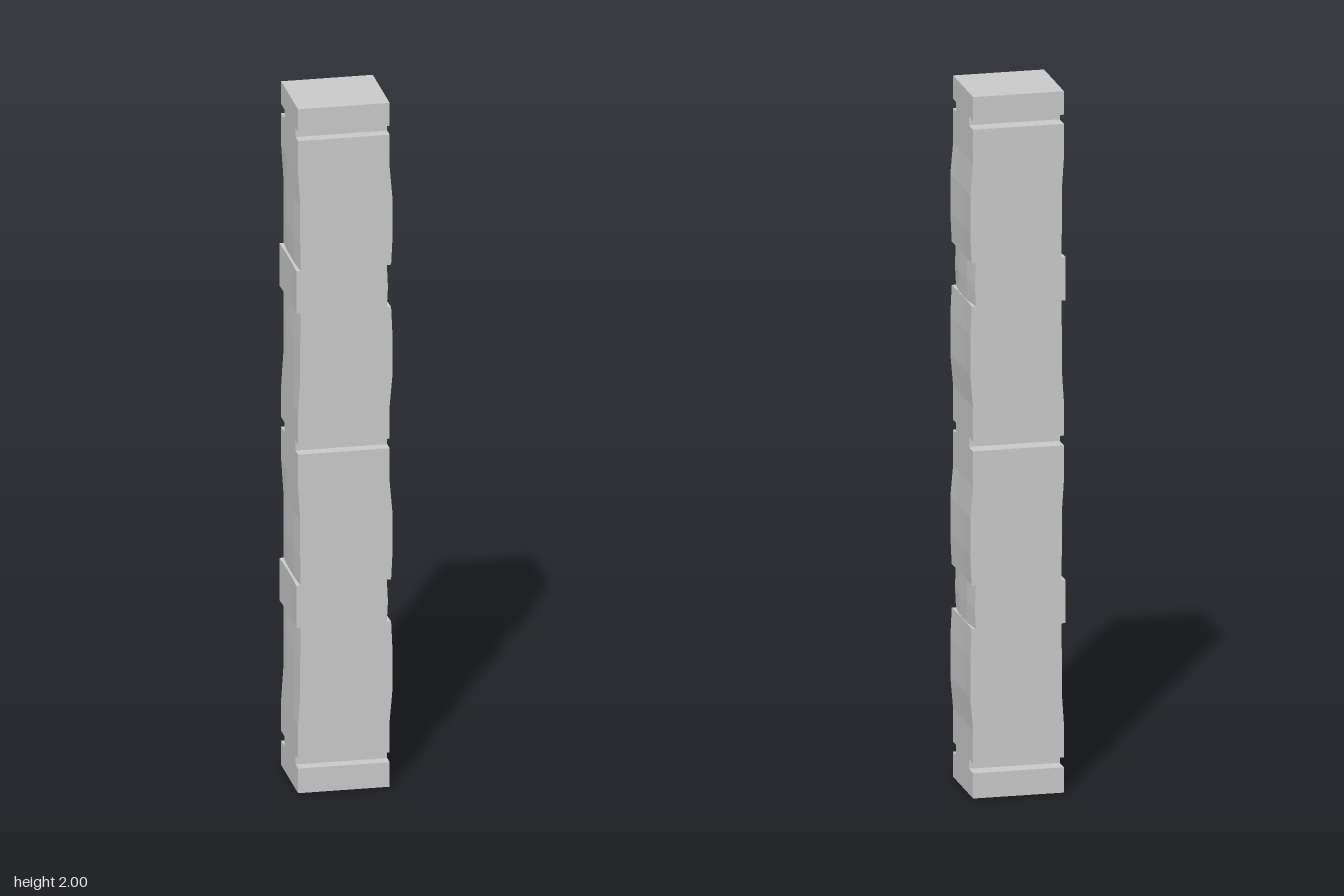
import * as THREE from 'three';

const FRONT = 0.115, BACK = -0.115;
const GROOVE_FRONT = 0.081, GROOVE_BACK = -0.067;

// Each level: [y, left edge x, left middle x, right edge x, right middle x, grooved]
function halfLevels(y0, y1, low, high) {
  const h = y1 - y0;
  const at = (t, ...x) => [y0 + t * h, ...x, false];
  const foot = [-0.131, -0.131, 0.126, 0.126];
  const hip = [-0.125, -0.13, 0.134, 0.132];
  const edge = [-0.124, -0.127, 0.13, 0.128];
  const band = [-0.136, -0.134, 0.118, 0.126];
  return [
    [low, ...foot, false],
    at(0.12, ...foot), at(0.22, ...hip), at(0.34, ...hip),
    at(0.435, ...edge), at(0.435, ...band),
    at(0.5, -0.136, -0.134, 0.121, 0.127),
    at(0.57, ...band), at(0.57, ...edge),
    at(0.66, ...hip), at(0.78, ...hip), at(0.88, ...foot),
    [high, ...foot, false],
  ];
}

function groove(y0, y1) {
  return [y0, y1].map(y => [y, -0.131, -0.131, 0.126, 0.126, true]);
}

// Cross-section, anticlockwise seen from above
function section([y, le, lm, re, rm, cut]) {
  const f = cut ? GROOVE_FRONT : FRONT, b = cut ? GROOVE_BACK : BACK;
  return [[le, f], [re, f], [rm, f * 0.4], [rm, b * 0.4], [re, b], [le, b], [lm, b * 0.4], [lm, f * 0.4]]
    .map(([x, z]) => [x, y, z]);
}

function loft(levels) {
  const rings = levels.map(section), n = rings[0].length, pos = [];
  const tri = (a, b, c) => pos.push(...a, ...b, ...c);
  for (let i = 0; i < rings.length - 1; i++) {
    for (let j = 0; j < n; j++) {
      const k = (j + 1) % n, lo = rings[i], hi = rings[i + 1];
      tri(lo[j], lo[k], hi[k]);
      tri(lo[j], hi[k], hi[j]);
    }
  }
  // End caps
  const bottom = rings[0], top = rings[rings.length - 1];
  for (let j = 1; j < n - 1; j++) {
    tri(bottom[0], bottom[j + 1], bottom[j]);
    tri(top[0], top[j], top[j + 1]);
  }
  const geo = new THREE.BufferGeometry();
  geo.setAttribute('position', new THREE.Float32BufferAttribute(pos, 3));
  geo.computeVertexNormals();
  return geo;
}

export function createModel() {
  const group = new THREE.Group();
  group.name = 'post';
  const plain = y => [y, -0.131, -0.131, 0.126, 0.126, false];

  // Two worn shafts between three grooves, with a plain block at each end
  const levels = [
    plain(0), plain(0.072),
    ...groove(0.072, 0.1),
    ...halfLevels(0.085, 1.0, 0.1, 0.99),
    ...groove(0.99, 1.018),
    ...halfLevels(1.005, 1.92, 1.018, 1.907),
    ...groove(1.907, 1.933),
    plain(1.933), plain(2),
  ];
  const material = new THREE.MeshStandardMaterial({ color: 0xcccccc, flatShading: true });
  const shaft = new THREE.Mesh(loft(levels), material);
  shaft.name = 'groovedShaft';
  group.add(shaft);
  return group;
}
